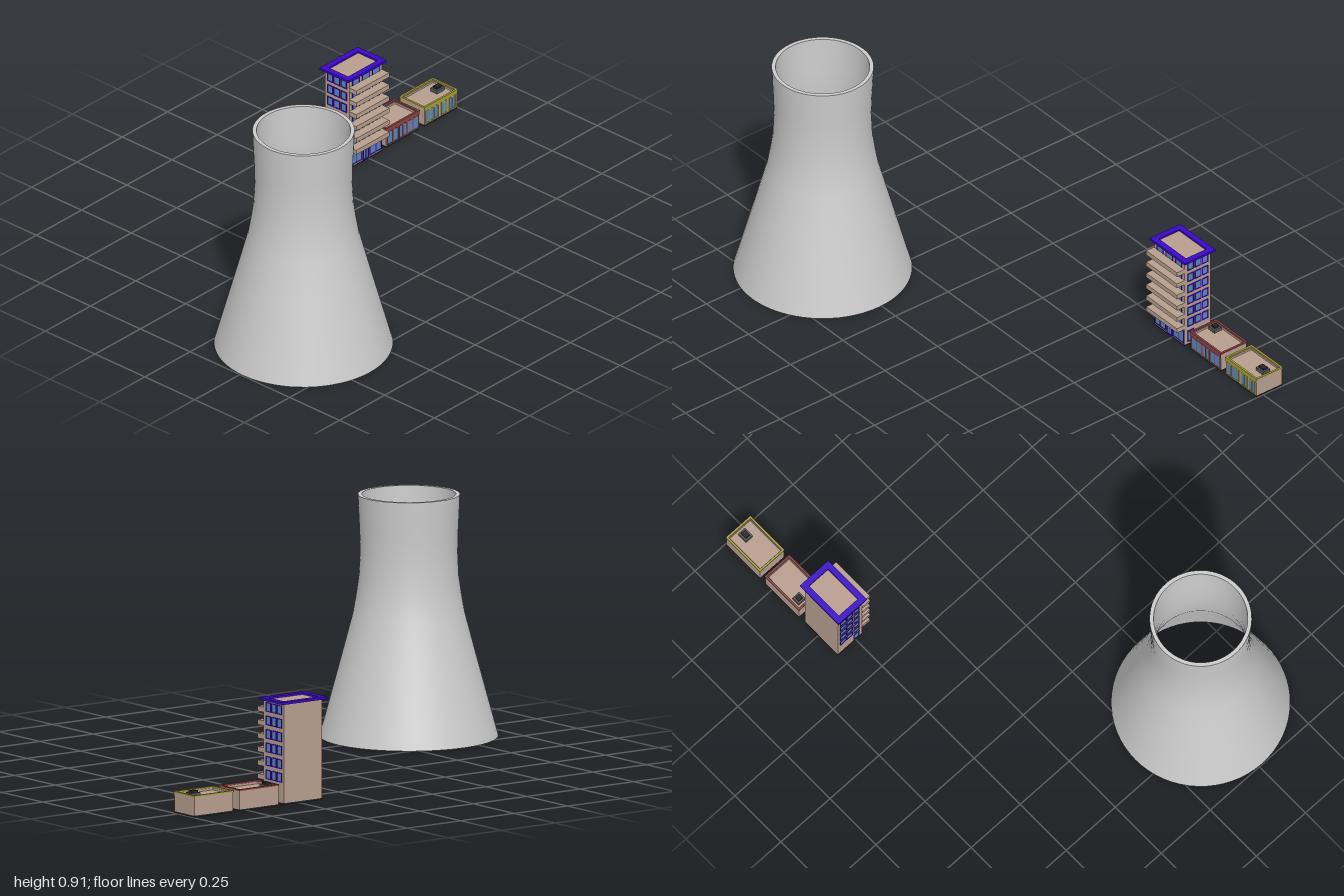
import * as THREE from 'three';

const mat = (color, side = THREE.FrontSide) => new THREE.MeshStandardMaterial({ color, side });
const WALL = mat(0xb89f8f), BLUE = mat(0x3a08c8), GLASS = mat(0x5f86b8), RED = mat(0x8c4444),
  YELLOW = mat(0xa8a03c), DARK = mat(0x262626), VENT = mat(0x555a58), GREY = mat(0xcccccc);

// Box given by its min and max corners
function box(parent, name, material, [x0, y0, z0], [x1, y1, z1]) {
  const mesh = new THREE.Mesh(new THREE.BoxGeometry(x1 - x0, y1 - y0, z1 - z0), material);
  mesh.position.set((x0 + x1) / 2, (y0 + y1) / 2, (z0 + z1) / 2);
  mesh.name = name;
  parent.add(mesh);
  return mesh;
}

// Rectangular rim with an open middle, lying flat
function rim(parent, name, material, [x0, y0, z0], [x1, y1, z1], t) {
  const g = new THREE.Group();
  g.name = name;
  box(g, 'rimBack', material, [x0, y0, z0], [x1, y1, z0 + t]);
  box(g, 'rimFront', material, [x0, y0, z1 - t], [x1, y1, z1]);
  box(g, 'rimRight', material, [x0, y0, z0 + t], [x0 + t, y1, z1 - t]);
  box(g, 'rimLeft', material, [x1 - t, y0, z0 + t], [x1, y1, z1 - t]);
  parent.add(g);
}

// Framed pane facing +z, centred on the origin, then turned and placed
function pane(parent, name, frame, w, h, [x, y, z], turn = 0, mullions = 0) {
  const g = new THREE.Group(), t = 0.0035;
  g.name = name;
  box(g, 'glass', GLASS, [-w / 2 + t, -h / 2 + t, -0.002], [w / 2 - t, h / 2 - t, 0.001]);
  for (const s of [-1, 1]) {
    const ex = s * (w - t) / 2, ey = s * (h - t) / 2;
    box(g, 'frameSide', frame, [ex - t / 2, -h / 2, -0.002], [ex + t / 2, h / 2, 0.0025]);
    box(g, 'frameEdge', frame, [-w / 2 + t, ey - t / 2, -0.002], [w / 2 - t, ey + t / 2, 0.0025]);
  }
  for (let i = 1; i <= mullions; i++) {
    const mx = -w / 2 + w * i / (mullions + 1);
    box(g, 'mullion', frame, [mx - 0.0015, -h / 2 + t, -0.002], [mx + 0.0015, h / 2 - t, 0.0025]);
  }
  g.position.set(x, y, z);
  g.rotation.y = turn;
  parent.add(g);
}

// Hollow cooling tower: outer wall up, over the lip, inner wall down
function coolingTower() {
  const outer = [[0.333, 0.005], [0.291, 0.16], [0.249, 0.315], [0.208, 0.47], [0.196, 0.54],
    [0.186, 0.61], [0.182, 0.7], [0.184, 0.78], [0.188, 0.86], [0.19, 0.917]];
  const t = 0.015;
  const v = ([r, y]) => new THREE.Vector2(r, y);
  const inner = outer.map(([r, y]) => [r - t, y]).reverse();
  const top = outer[outer.length - 1], base = outer[0];
  const g = new THREE.Group();
  g.name = 'coolingTower';
  const parts = {
    outerWall: outer.map(v),
    innerWall: inner.map(v),
    topLip: [top, inner[0]].map(v),
    baseRing: [inner[inner.length - 1], base].map(v),
  };
  for (const [name, pts] of Object.entries(parts)) {
    const mesh = new THREE.Mesh(new THREE.LatheGeometry(pts, 64), GREY);
    mesh.name = name;
    g.add(mesh);
  }
  g.position.set(-0.665, 0, 0.265);
  return g;
}

// Seven-storey block with balconies and a wide roof rim
function apartmentBlock() {
  const g = new THREE.Group();
  g.name = 'apartmentBlock';
  const x0 = 0.395, x1 = 0.573, zb = -0.59, zf = -0.467, xc = (x0 + x1) / 2;
  box(g, 'foundation', DARK, [x0, 0.004, zb], [x1, 0.01, zf]);
  box(g, 'walls', WALL, [x0, 0.01, zb], [x1, 0.386, zf]);
  rim(g, 'roofRim', BLUE, [0.378, 0.384, -0.602], [0.588, 0.393, -0.457], 0.024);

  // Upper storeys
  for (let i = 0; i < 6; i++) {
    const y = 0.104 + i * 0.051;
    box(g, 'balcony', WALL, [0.391, y - 0.023, zf], [0.574, y - 0.004, -0.43]);
    for (let j = -1; j <= 1; j++) {
      pane(g, 'frontWindow', BLUE, 0.04, 0.036, [xc + j * 0.055, y + 0.002, zf]);
      const z = -0.53 + j * 0.034;
      pane(g, 'sideWindow', BLUE, 0.03, 0.036, [x1, y, z], Math.PI / 2);
      pane(g, 'sideWindow', BLUE, 0.03, 0.036, [x0, y, z], -Math.PI / 2);
    }
  }

  // Ground floor
  for (const s of [-1, 1]) {
    pane(g, 'shopWindow', BLUE, 0.066, 0.056, [xc + s * 0.054, 0.043, zf], 0, 1);
    pane(g, 'groundSideWindow', BLUE, 0.03, 0.05, [s > 0 ? x1 : x0, 0.043, -0.496], s * Math.PI / 2);
  }
  pane(g, 'door', BLUE, 0.032, 0.054, [xc, 0.037, zf], 0, 1);
  return g;
}

// Single-storey shop with a trim rim, flat roof and roof vent
function shop(name, x0, trim, openings, vent) {
  const g = new THREE.Group();
  g.name = name;
  const x1 = x0 + 0.182, zb = -0.594, zf = -0.472, t = 0.008;
  box(g, 'foundation', DARK, [x0, 0.004, zb], [x1, 0.01, zf]);
  box(g, 'walls', WALL, [x0, 0.01, zb], [x1, 0.072, zf]);
  rim(g, 'parapet', WALL, [x0, 0.072, zb], [x1, 0.08, zf], t);
  rim(g, 'parapetTrim', trim, [x0 - 0.002, 0.08, zb - 0.002], [x1 + 0.002, 0.086, zf + 0.002], t);
  box(g, 'frontBand', trim, [x0, 0.068, zf], [x1, 0.08, zf + 0.002]);
  for (const [x, w, mullions] of openings) {
    pane(g, 'opening', trim, w, 0.056, [x0 + x, 0.04, zf], 0, mullions);
  }

  // Roof vent with a raised cap
  const [vx, vz, w, d] = vent;
  box(g, 'ventBody', VENT, [vx - w / 2, 0.072, vz - d / 2], [vx + w / 2, 0.086, vz + d / 2]);
  box(g, 'ventCap', DARK, [vx - w / 2 + 0.007, 0.086, vz - d / 2 + 0.007],
    [vx + w / 2 - 0.007, 0.094, vz + d / 2 - 0.007]);
  return g;
}

export function createModel() {
  const model = new THREE.Group();
  model.name = 'powerPlantStreet';
  model.add(
    coolingTower(),
    apartmentBlock(),
    shop('redShop', 0.602, RED, [[0.036, 0.064, 1], [0.091, 0.042, 1], [0.146, 0.064, 1]], [0.636, -0.562, 0.034, 0.034]),
    shop('yellowShop', 0.813, YELLOW, [[0.043, 0.07, 2], [0.109, 0.036, 1], [0.154, 0.036, 1]], [0.955, -0.535, 0.042, 0.034]),
  );
  return model;
}
